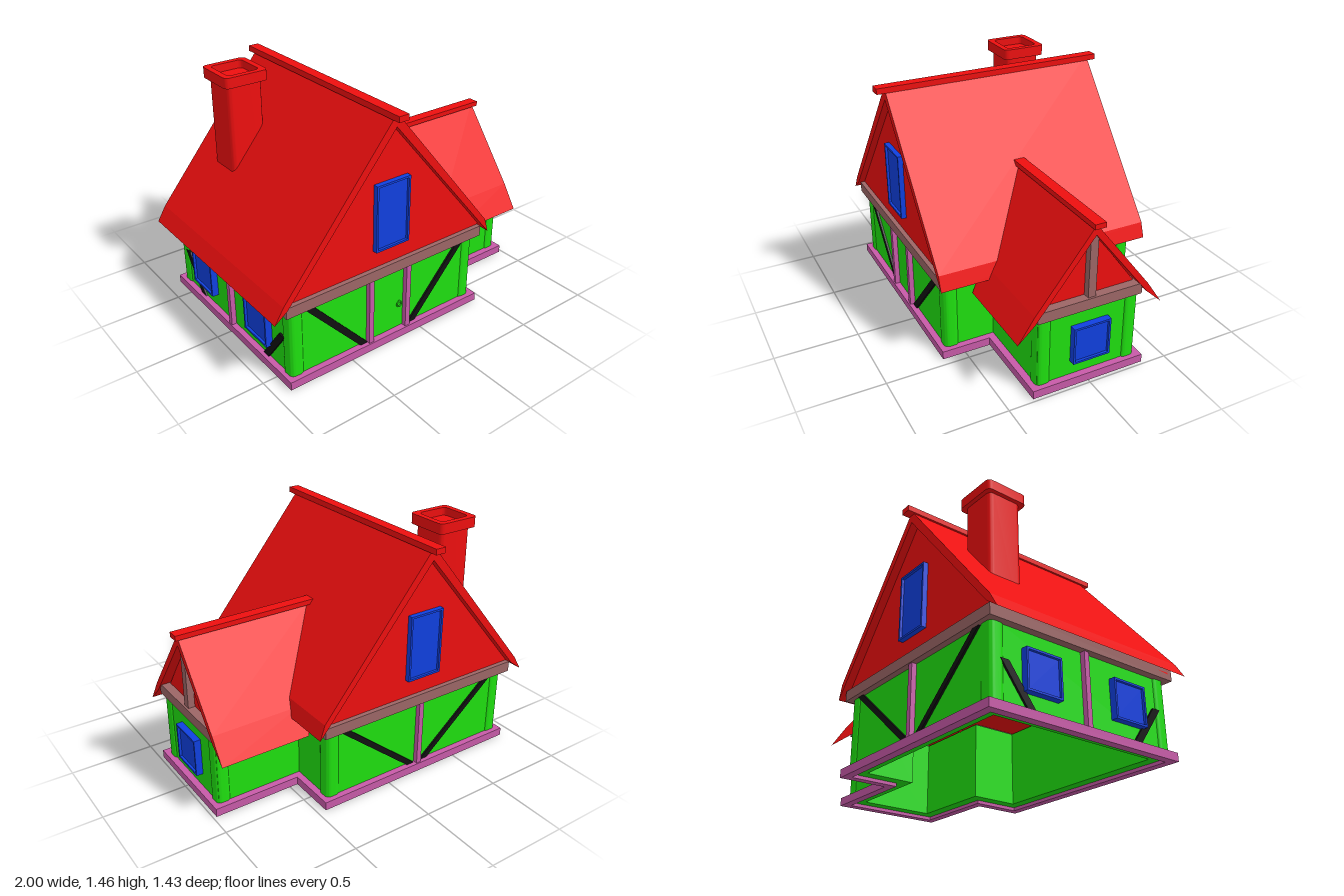
import * as THREE from 'three';
import { toCreasedNormals } from 'three/addons/utils/BufferGeometryUtils.js';

const mat = (color) => new THREE.MeshStandardMaterial({ color });
const RED = mat(0xee0f0f), GREEN = mat(0x1fe010), PINK = mat(0xc75aa8);
const BROWN = mat(0x9c6666), BLACK = mat(0x111111), BLUE = mat(0x1040e0);
const ZC = -0.005, RIDGE_X = -0.23;

const polygon = (pts) => new THREE.Shape(pts.map(([x, y]) => new THREE.Vector2(x, y)));
const extrude = (shape, depth) =>
  new THREE.ExtrudeGeometry(shape, { depth, bevelEnabled: false, curveSegments: 4 });

function roundedSquare(w, r) {
  const a = w / 2 - r, s = new THREE.Shape();
  [[a, a], [-a, a], [-a, -a], [a, -a]].forEach(([x, y], i) =>
    s.absarc(x, y, r, i * Math.PI / 2, (i + 1) * Math.PI / 2, false));
  return s;
}

// T-shaped plan: main house plus side wing
const plan = (x0, x1, x2, zMain, zWing) => [
  [x0, -zMain], [x1, -zMain], [x1, -zWing], [x2, -zWing],
  [x2, zWing], [x1, zWing], [x1, zMain], [x0, zMain]];

export function createModel() {
  const house = new THREE.Group();
  house.name = 'house';

  const add = (name, geometry, material, x = 0, y = 0, z = 0, parent = house) => {
    const m = new THREE.Mesh(geometry, material);
    m.name = name;
    m.position.set(x, y, z);
    parent.add(m);
    return m;
  };
  // Box given by its minimum and maximum corners
  const box = (name, material, [x0, y0, z0], [x1, y1, z1], parent) =>
    add(name, new THREE.BoxGeometry(x1 - x0, y1 - y0, z1 - z0), material,
      (x0 + x1) / 2, (y0 + y1) / 2, (z0 + z1) / 2, parent);
  // Upright extrusion of a floor plan
  const upright = (name, shape, material, y0, y1, x = 0, z = ZC) =>
    add(name, toCreasedNormals(extrude(shape, y1 - y0).rotateX(-Math.PI / 2), 0.5), material, x, y0, z);
  const ring = (name, material, outer, inner, y0, y1) => {
    const s = polygon(plan(...outer));
    s.holes.push(polygon(plan(...inner)));
    upright(name, s, material, y0, y1);
  };

  // Sill, walls and upper beam follow the same plan
  ring('sill', PINK, [-0.91, 0.45, 0.98, 0.645, 0.35], [-0.86, 0.4, 0.93, 0.595, 0.3], 0, 0.05);
  ring('walls', GREEN, [-0.875, 0.41, 0.94, 0.607, 0.308], [-0.8, 0.335, 0.865, 0.532, 0.233], 0.02, 0.49);
  ring('upperBeam', BROWN, [-0.92, 0.45, 0.967, 0.645, 0.322], [-0.82, 0.35, 0.88, 0.55, 0.25], 0.465, 0.53);

  // Rounded corner posts
  for (const s of [-1, 1]) {
    for (const [x, z] of [[-0.84, 0.57], [0.375, 0.57], [0.905, 0.27]])
      upright('cornerPost', roundedSquare(0.09, 0.03), GREEN, 0.04, 0.48, x, ZC + s * z);
  }

  // Timber posts and braces, on panels whose local +z faces outward
  const panel = (name, x, z, turn) => {
    const g = new THREE.Group();
    g.name = name;
    g.position.set(x, 0, z);
    g.rotation.y = turn;
    house.add(g);
    return g;
  };
  const post = (p, u) => box('timberPost', PINK, [u - 0.016, 0.05, -0.02], [u + 0.016, 0.467, 0.03], p);
  const brace = (p, u0, v0, u1, v1) => {
    const w = 0.026;
    add('diagonalBrace', extrude(polygon([[u0 - w, v0], [u1 - w, v1], [u1 + w, v1], [u0 + w, v0]]
      .slice(0).reverse()), 0.02), BLACK, 0, 0, -0.008, p);
  };
  const windowAt = (p, u, v, w, h, depth = 0) => {
    const f = 0.012;
    const s = polygon([[-w / 2, -h / 2], [w / 2, -h / 2], [w / 2, h / 2], [-w / 2, h / 2]]);
    s.holes.push(polygon([[-w / 2 + f, -h / 2 + f], [-w / 2 + f, h / 2 - f],
      [w / 2 - f, h / 2 - f], [w / 2 - f, -h / 2 + f]]));
    add('windowFrame', extrude(s, 0.04), BLUE, u, v, depth - 0.01, p);
    add('windowPane', new THREE.BoxGeometry(w - f, h - f, 0.03), BLUE, u, v, depth, p);
  };

  const front = panel('frontPanel', 0, ZC + 0.607, 0);
  post(front, -0.36);
  post(front, -0.095);
  brace(front, -0.775, 0.465, -0.4, 0.05);
  brace(front, 0.32, 0.465, -0.05, 0.05);
  windowAt(front, RIDGE_X + 0.003, 0.84, 0.228, 0.4, 0.01);
  add('doorRing', new THREE.TorusGeometry(0.016, 0.005, 6, 16), GREEN, -0.145, 0.21, 0.01, front);
  add('doorKnob', new THREE.SphereGeometry(0.007, 8, 6), GREEN, -0.145, 0.23, 0.01, front);

  const back = panel('backPanel', 0, ZC - 0.607, Math.PI);
  post(back, -RIDGE_X);
  brace(back, 0.775, 0.465, 0.28, 0.05);
  brace(back, -0.32, 0.465, 0.18, 0.05);
  windowAt(back, -RIDGE_X - 0.003, 0.84, 0.228, 0.4, 0.01);

  const side = panel('sidePanel', -0.875, ZC, -Math.PI / 2);
  post(side, 0);
  for (const s of [-1, 1]) {
    brace(side, s * 0.53, 0.28, s * 0.36, 0.05);
    windowAt(side, s * 0.3, 0.255, 0.23, 0.23, 0.01);
  }

  const wingEnd = panel('wingEndPanel', 0.94, ZC, Math.PI / 2);
  windowAt(wingEnd, 0.01, 0.255, 0.23, 0.23, 0.01);

  // Main roof: tapered chevron slab with kicked eaves, over a solid attic
  const mainRoof = polygon([[0, 1.425], [-0.715, 0.56], [-0.77, 0.47], [-0.69, 0.53],
    [0, 1.35], [0.69, 0.53], [0.73, 0.485], [0.7, 0.575]]);
  add('mainRoof', extrude(mainRoof, 1.325), RED, RIDGE_X, 0, -0.67);
  add('mainAttic', extrude(polygon([[-0.69, 0.5], [0.68, 0.5], [0.68, 0.54], [0, 1.36], [-0.69, 0.54]]), 1.234),
    RED, RIDGE_X, 0, ZC - 0.617);
  box('mainRidge', RED, [-0.265, 1.398, -0.717], [-0.2, 1.432, 0.71]);

  // Wing roof: inner end is slid back to meet the slope of the main roof
  const wingSlab = (name, pts, xEnd) => {
    const g = extrude(polygon(pts), 1).rotateY(Math.PI / 2);
    const p = g.attributes.position;
    for (let i = 0; i < p.count; i++) {
      const start = Math.min(0.43, RIDGE_X + (1.425 - p.getY(i)) / 1.21 - 0.015);
      p.setX(i, p.getX(i) > 0.5 ? xEnd : start);
    }
    g.computeVertexNormals();
    add(name, g, RED, 0, 0, ZC - 0.003);
  };
  wingSlab('wingRoof', [[0, 0.975], [-0.35, 0.525], [-0.447, 0.38], [-0.345, 0.475],
    [0, 0.915], [0.345, 0.475], [0.447, 0.38], [0.35, 0.525]], 0.975);
  wingSlab('wingAttic', [[-0.315, 0.5], [0.315, 0.5], [0, 0.925]], 0.915);
  box('wingRidge', RED, [0.113, 0.963, -0.047], [1, 0.993, 0.02]);
  box('wingGablePost', BROWN, [0.9, 0.52, -0.037], [0.955, 0.935, 0.011]);

  // Chimney: shaft with a hollow cap
  const CX = -0.575, CZ = -0.35;
  upright('chimneyShaft', roundedSquare(0.22, 0.03), RED, 0.7, 1.41, CX, CZ);
  const cap = roundedSquare(0.272, 0.03);
  cap.holes.push(roundedSquare(0.2, 0.025));
  upright('chimneyCap', cap, RED, 1.395, 1.457, CX, CZ);

  // Braces leaning either way share one helper, so show both sides
  BLACK.side = THREE.DoubleSide;
  return house;
}
